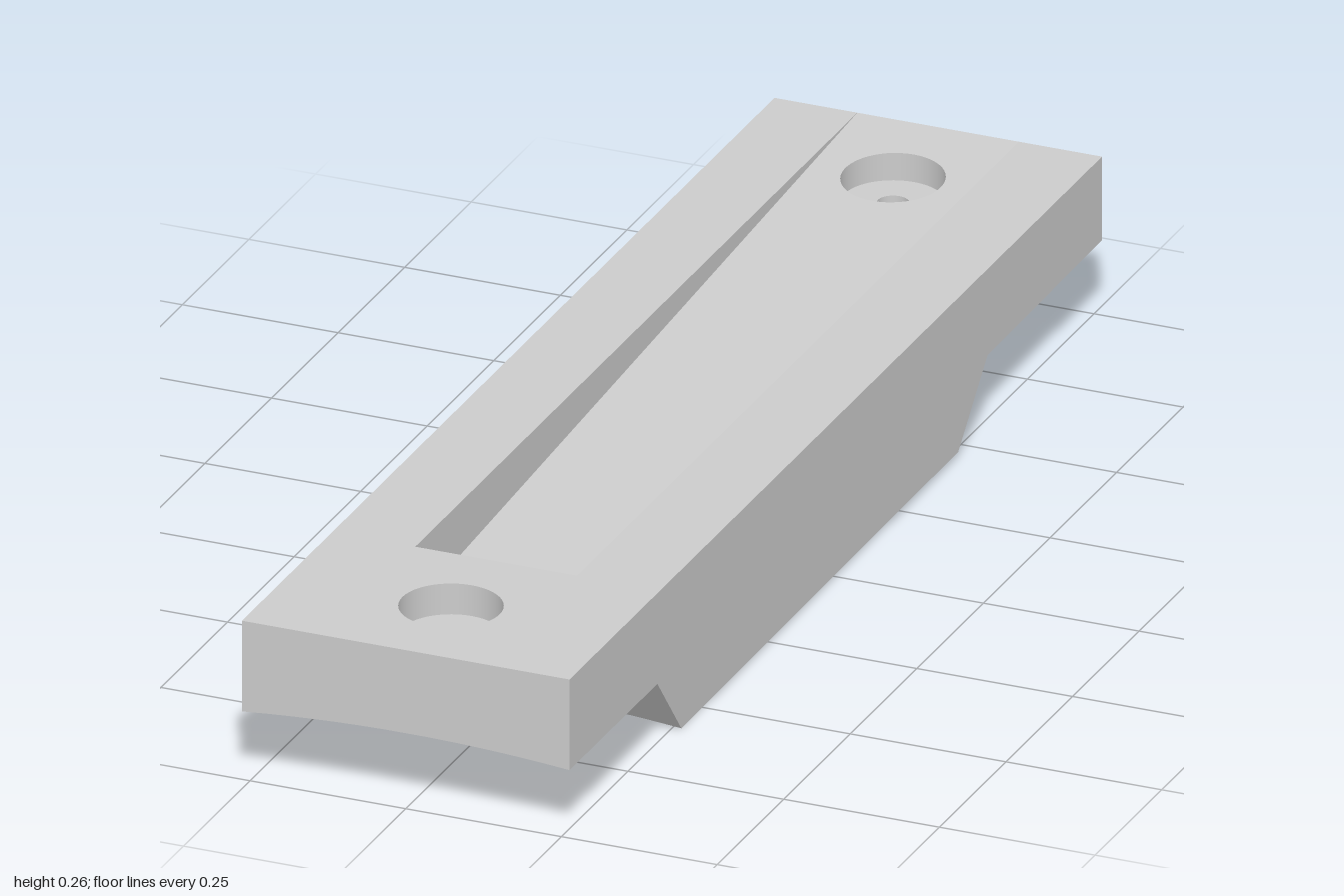
import * as THREE from 'three';
import { mergeGeometries } from 'three/addons/utils/BufferGeometryUtils.js';

const W = 0.263, TOP = 0.258;              // half width, top height
const PW = 0.13, PZ = 0.66, DEPTH = 0.095; // pocket half width, front end, depth
const HOLE_Z = 0.83, BORE = 0.024, SINK = 0.078, SINK_Y = 0.208;

// Underside centre line, front to back: [z, y]
const PROFILE = [[1, 0.123], [0.67, 0.123], [0.58, 0.0125], [-0.46, 0.0125], [-0.57, 0.122], [-1, 0.123]];

// The arch across the width flattens towards the rear
const arch = (z) => THREE.MathUtils.mapLinear(Math.min(z, 0.58), -1, 0.58, 0.001, 0.0125);

function underY(x, z) {
  let i = 0;
  while (i < PROFILE.length - 2 && z < PROFILE[i + 1][0]) i++;
  const [z0, y0] = PROFILE[i], [z1, y1] = PROFILE[i + 1];
  return THREE.MathUtils.mapLinear(z, z0, z1, y0, y1) - arch(z) * (x / W) ** 2;
}

// Pocket floor: deepest at the front, running out at the rear edge
const rampY = (z) => TOP - DEPTH * (z + 1) / (PZ + 1);

const polygon = (pts) => new THREE.Shape(pts.map(([a, b]) => new THREE.Vector2(a, b)));
const rect = (a0, a1, b0, b1) => polygon([[a0, b0], [a1, b0], [a1, b1], [a0, b1]]);

function punch(shape, z, r) {
  shape.holes.push(new THREE.Path().absarc(0, z, r, 0, Math.PI * 2, true));
  return shape;
}

// Maps a flat shape into space; flip reverses the side it faces
function face(shape, map, flip = false) {
  const g = new THREE.ShapeGeometry(shape, 24);
  const p = g.attributes.position;
  for (let i = 0; i < p.count; i++) p.setXYZ(i, ...map(p.getX(i), p.getY(i)));
  if (flip) g.setIndex(Array.from(g.index.array).reverse());
  const flat = g.toNonIndexed();
  flat.computeVertexNormals();
  return flat;
}

// Inward-facing round wall between two height rules
function roundWall(z, r, topRule, bottomRule) {
  const g = new THREE.CylinderGeometry(r, r, 1, 48, 1, true);
  const p = g.attributes.position;
  for (let i = 0; i < p.count; i++) {
    const x = p.getX(i), pz = p.getZ(i) + z;
    p.setXYZ(i, x, p.getY(i) > 0 ? topRule(x, pz) : bottomRule(x, pz), pz);
  }
  const n = g.attributes.normal;
  for (let i = 0; i < n.count; i++) n.setXYZ(i, -n.getX(i), 0, -n.getZ(i));
  g.setIndex(Array.from(g.index.array).reverse());
  return g.toNonIndexed();
}

export function createModel() {
  const model = new THREE.Group();
  model.name = 'mountingBlock';
  const material = new THREE.MeshStandardMaterial({ color: 0xcccccc });
  const add = (name, parts) => {
    const mesh = new THREE.Mesh(mergeGeometries(parts), material);
    mesh.name = name;
    model.add(mesh);
  };

  // Top rim around the pocket, with the front screw hole
  const rim = polygon([[-W, -1], [-PW, -1], [-PW, PZ], [PW, PZ], [PW, -1], [W, -1], [W, 1], [-W, 1]]);
  add('topFace', [face(punch(rim, HOLE_Z, SINK), (x, z) => [x, TOP, z], true)]);

  // Sloping pocket floor, with the rear screw hole
  const floor = punch(rect(-PW, PW, -1, PZ), -HOLE_Z, SINK);
  add('pocketFloor', [face(floor, (x, z) => [x, rampY(z), z], true)]);

  // Wedge-shaped pocket sides and square front wall
  const wedge = polygon([[-1, TOP], [PZ, TOP - DEPTH], [PZ, TOP]]);
  add('pocketWalls', [
    face(wedge, (z, y) => [PW, y, z]),
    face(wedge, (z, y) => [-PW, y, z], true),
    face(rect(-PW, PW, TOP - DEPTH, TOP), (x, y) => [x, y, PZ], true),
  ]);

  // Arched underside in lengthwise strips; the middle strip takes the bores
  const strips = 13, mid = (strips - 1) / 2, inner = 0.036;
  const edges = [];
  for (let i = 0; i <= strips; i++) {
    const t = i - strips / 2;
    edges.push(Math.sign(t) * (inner + (Math.abs(t) - 0.5) / mid * (W - inner)));
  }
  const under = [];
  for (let i = 0; i < strips; i++) {
    for (let j = 0; j < PROFILE.length - 1; j++) {
      const s = rect(edges[i], edges[i + 1], PROFILE[j + 1][0], PROFILE[j][0]);
      if (i === mid && j === 0) punch(s, HOLE_Z, BORE);
      if (i === mid && j === PROFILE.length - 2) punch(s, -HOLE_Z, BORE);
      under.push(face(s, (x, z) => [x, underY(x, z), z]));
    }
  }
  add('underside', under);

  // Long sides
  const side = polygon([...PROFILE.map(([z]) => [z, underY(W, z)]), [-1, TOP], [1, TOP]]);
  add('sides', [
    face(side, (z, y) => [-W, y, z]),
    face(side, (z, y) => [W, y, z], true),
  ]);

  // End faces with arched lower edges
  add('ends', [1, -1].map((z) => {
    const s = polygon([...edges.map((x) => [x, underY(x, z)]), [W, TOP], [-W, TOP]]);
    return face(s, (x, y) => [x, y, z], z < 0);
  }));

  // Counterbored screw holes
  for (const [name, z] of [['frontScrewHole', HOLE_Z], ['rearScrewHole', -HOLE_Z]]) {
    const mouth = (x, pz) => (z > 0 ? TOP : rampY(pz));
    const seat = new THREE.Shape().absarc(0, z, SINK, 0, Math.PI * 2);
    add(name, [
      roundWall(z, SINK, mouth, () => SINK_Y),
      face(punch(seat, z, BORE), (x, pz) => [x, SINK_Y, pz], true),
      roundWall(z, BORE, () => SINK_Y, underY),
    ]);
  }
  return model;
}
